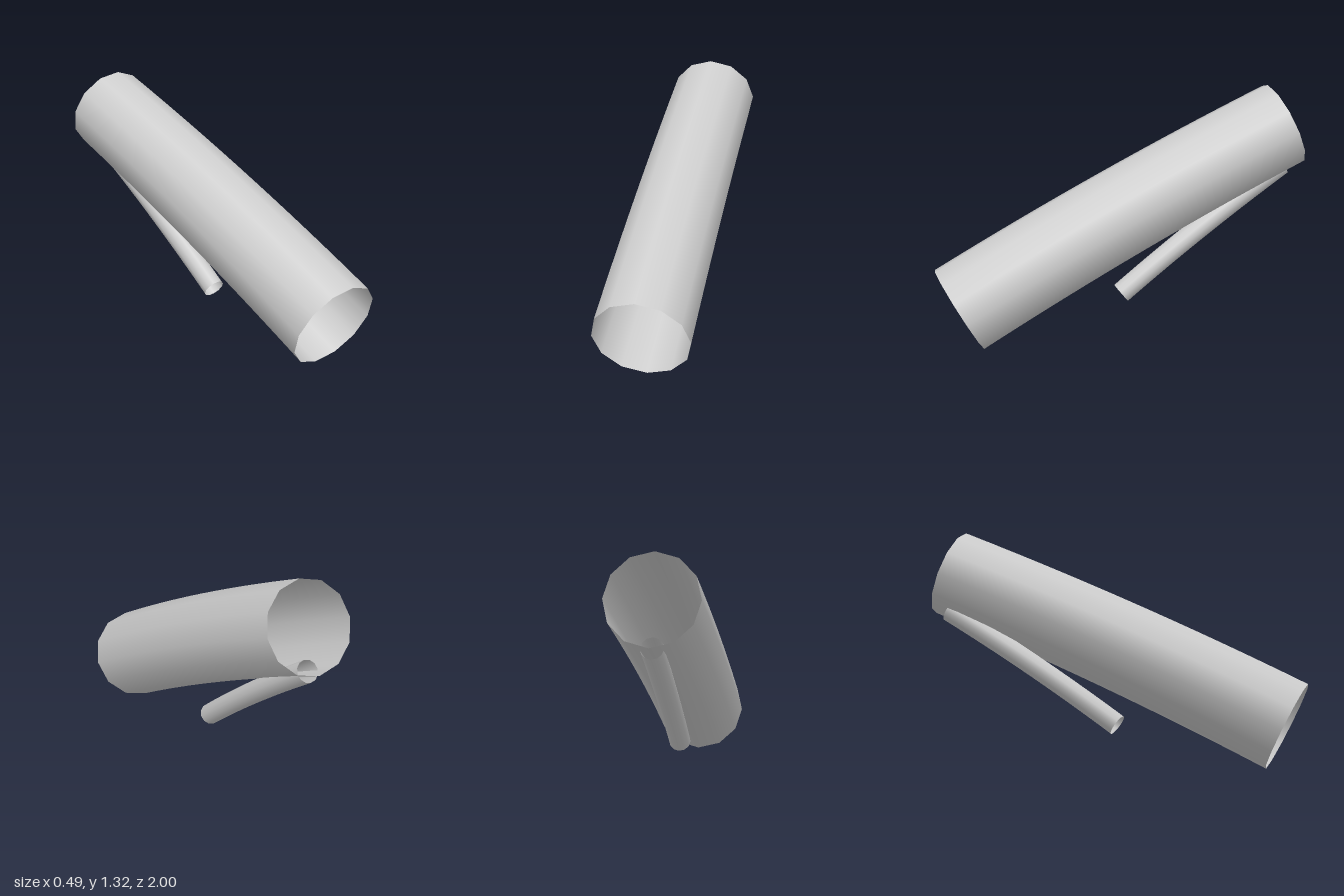
import * as THREE from 'three';

// Open tapered tube swept along a gentle arc in the y-z plane.
function taperedTube(name, points, startRadius, endRadius, sides, material) {
  const rings = 16;
  const curve = new THREE.QuadraticBezierCurve3(
    ...points.map(([y, z]) => new THREE.Vector3(0, y, z)));
  const geometry = new THREE.TubeGeometry(curve, rings, 1, sides, false);
  const position = geometry.attributes.position;
  const vertex = new THREE.Vector3();
  // Scale each ring about its own centre to form the taper
  for (let i = 0; i < position.count; i++) {
    const t = Math.floor(i / (sides + 1)) / rings;
    const centre = curve.getPointAt(t);
    vertex.fromBufferAttribute(position, i).sub(centre)
      .multiplyScalar(THREE.MathUtils.lerp(startRadius, endRadius, t)).add(centre);
    position.setXYZ(i, vertex.x, vertex.y, vertex.z);
  }
  const mesh = new THREE.Mesh(geometry, material);
  mesh.name = name;
  return mesh;
}

export function createModel() {
  const group = new THREE.Group();
  group.name = 'branchingTube';
  const grey = new THREE.MeshStandardMaterial({ color: 0xcccccc, side: THREE.DoubleSide });
  grey.name = 'light grey';

  // Main hollow trunk, low at the front and rising to the back
  group.add(taperedTube('trunk',
    [[0.22, 0.88], [0.706, 0.008], [1.112, -0.905]], 0.247, 0.233, 12, grey));
  // Thin branch underneath, joining the trunk near its upper end
  group.add(taperedTube('branch',
    [[0.882, -0.903], [0.573, -0.437], [0.225, 0]], 0.057, 0.057, 12, grey));
  return group;
}
